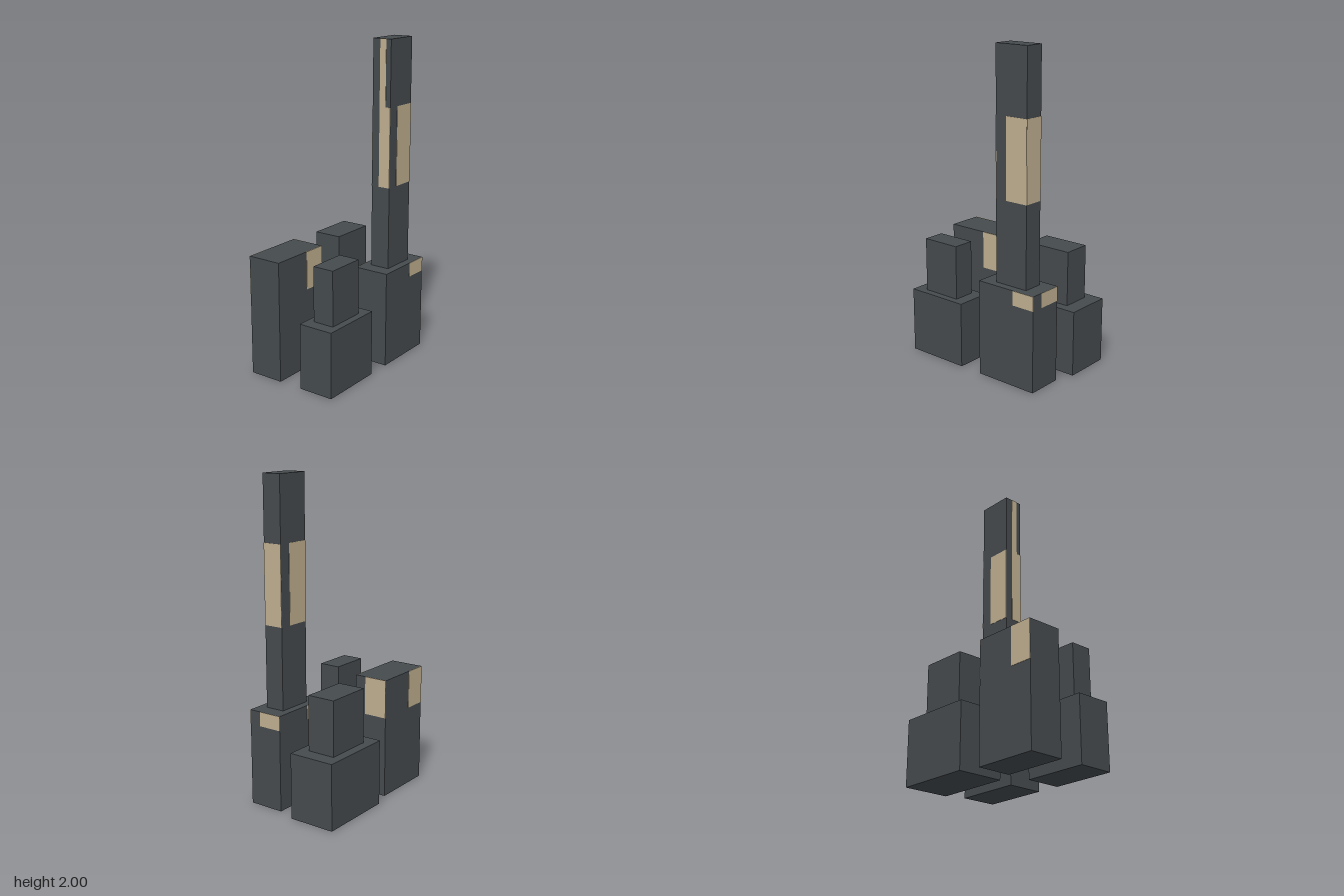
import * as THREE from 'three';

const slate = new THREE.MeshStandardMaterial({ color: 0x454a4e });
slate.name = 'dark slate';
const sand = new THREE.MeshStandardMaterial({ color: 0xc0af90 });
sand.name = 'sand';

// Box given by its lower and upper limits on each axis
function block(name, [x0, x1], [y0, y1], [z0, z1], material = slate) {
  const mesh = new THREE.Mesh(new THREE.BoxGeometry(x1 - x0, y1 - y0, z1 - z0), material);
  mesh.position.set((x0 + x1) / 2, (y0 + y1) / 2, (z0 + z1) / 2);
  mesh.name = name;
  return mesh;
}

// Thin sand panels on the front, left (+x) and back faces of a block,
// each set against the edge at the right of whoever looks at that face
function panels(name, [x0, x1], y, [z0, z1], width = 0.15) {
  const t = 0.002;
  const w = Math.min(width, x1 - x0);
  const d = Math.min(width, z1 - z0);
  const group = new THREE.Group();
  group.name = name;
  group.add(
    block('frontPanel', [x1 - w, x1], y, [z1 - t, z1 + t], sand),
    block('leftPanel', [x1 - t, x1 + t], y, [z0, z0 + d], sand),
    block('backPanel', [x0, x0 + w], y, [z0 - t, z0 + t], sand),
  );
  return group;
}

export function createModel() {
  const model = new THREE.Group();
  model.name = 'towerCluster';

  // Single tall block, back right
  const backX = [-0.505, -0.095], backZ = [-0.28, -0.06];
  model.add(block('backRightBlock', backX, [0, 0.75], backZ));
  model.add(panels('backRightPanels', backX, [0.51, 0.75], backZ));

  // Stepped block, back left
  model.add(block('backLeftBase', [0.02, 0.505], [0, 0.41], [-0.318, -0.02]));
  model.add(block('backLeftUpper', [0.11, 0.41], [0.41, 0.75], [-0.26, -0.08]));

  // Stepped block, front right
  model.add(block('frontRightBase', [-0.505, -0.095], [0, 0.41], [0.093, 0.318]));
  model.add(block('frontRightUpper', [-0.427, -0.173], [0.41, 0.75], [0.135, 0.273]));

  // Tower base, front left
  const baseX = [0.055, 0.465], baseZ = [0.093, 0.318];
  model.add(block('towerBase', baseX, [0, 0.6], baseZ));
  model.add(panels('towerBasePanels', baseX, [0.51, 0.6], baseZ));

  // Tall tower shaft
  const shaftX = [0.147, 0.372], shaftZ = [0.143, 0.268];
  model.add(block('towerShaft', shaftX, [0.6, 2], shaftZ));
  model.add(panels('towerPanels', shaftX, [1.11, 1.6], shaftZ));

  // Panels on the right face of the shaft: wide below, narrow above
  const sideX = [shaftX[0] - 0.002, shaftX[0] + 0.002];
  model.add(block('rightLowerPanel', sideX, [1.11, 1.6], [0.193, 0.268], sand));
  model.add(block('rightUpperPanel', sideX, [1.6, 2], [0.193, 0.235], sand));

  return model;
}
